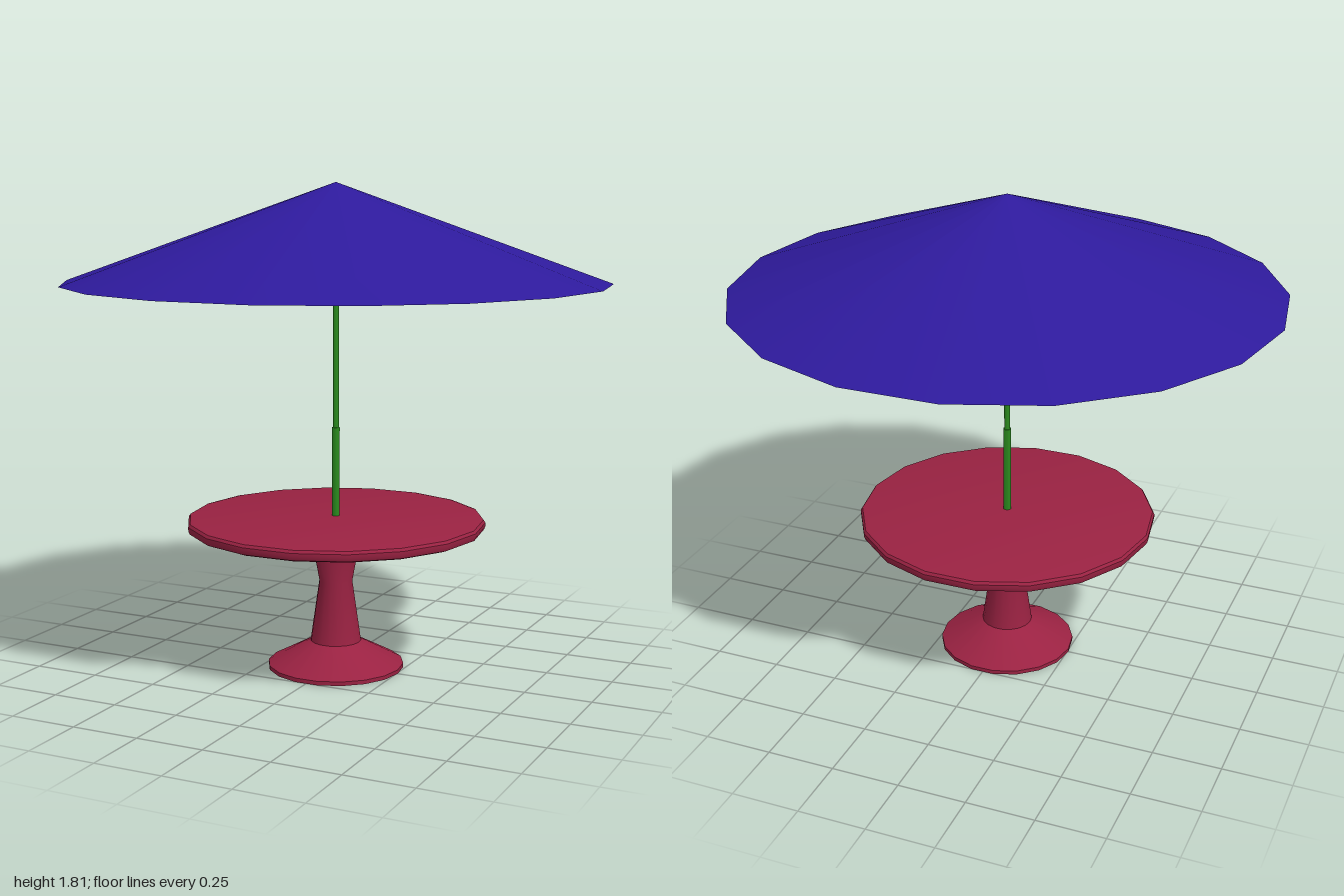
import * as THREE from 'three';
import { toCreasedNormals } from 'three/addons/utils/BufferGeometryUtils.js';

const SIDES = 18;
const START = Math.PI / 2; // puts a corner on the x axis

export function createModel() {
  const group = new THREE.Group();
  const red = new THREE.MeshStandardMaterial({ color: 0x9a2242 });
  const green = new THREE.MeshStandardMaterial({ color: 0x2a8a1e });
  const blue = new THREE.MeshStandardMaterial({ color: 0x2e1a9c, side: THREE.DoubleSide });

  const add = (name, geometry, material) => {
    const mesh = new THREE.Mesh(geometry, material);
    mesh.name = name;
    group.add(mesh);
    return mesh;
  };

  // Turned part from a bottom-to-top profile of [radius, height]
  const turn = (name, profile, material, sides = SIDES) => {
    const points = profile.map(([r, y]) => new THREE.Vector2(r, y));
    const lathe = new THREE.LatheGeometry(points, sides, START);
    return add(name, toCreasedNormals(lathe, Math.PI / 6), material);
  };

  // Flared foot and waisted column
  turn('pedestal', [
    [0, 0], [0.255, 0], [0.255, 0.015], [0.095, 0.1],
    [0.062, 0.33], [0.095, 0.51], [0, 0.51],
  ], red);

  // Round top with softened rim and shallow conical underside
  turn('tableTop', [
    [0, 0.508], [0.1, 0.51], [0.535, 0.53], [0.55, 0.536],
    [0.555, 0.548], [0.555, 0.562], [0.548, 0.572], [0.535, 0.575], [0, 0.578],
  ], red);

  // Pole: thicker lower sleeve, thinner upper tube
  turn('pole', [
    [0, 0.56], [0.0145, 0.56], [0.0145, 0.91], [0.011, 0.91], [0.011, 1.78], [0, 1.78],
  ], green);

  // Hollow umbrella canopy
  const height = 0.36;
  const canopy = new THREE.ConeGeometry(1, height, SIDES, 1, true, START);
  add('canopy', canopy, blue).position.y = 1.445 + height / 2;

  return group;
}
